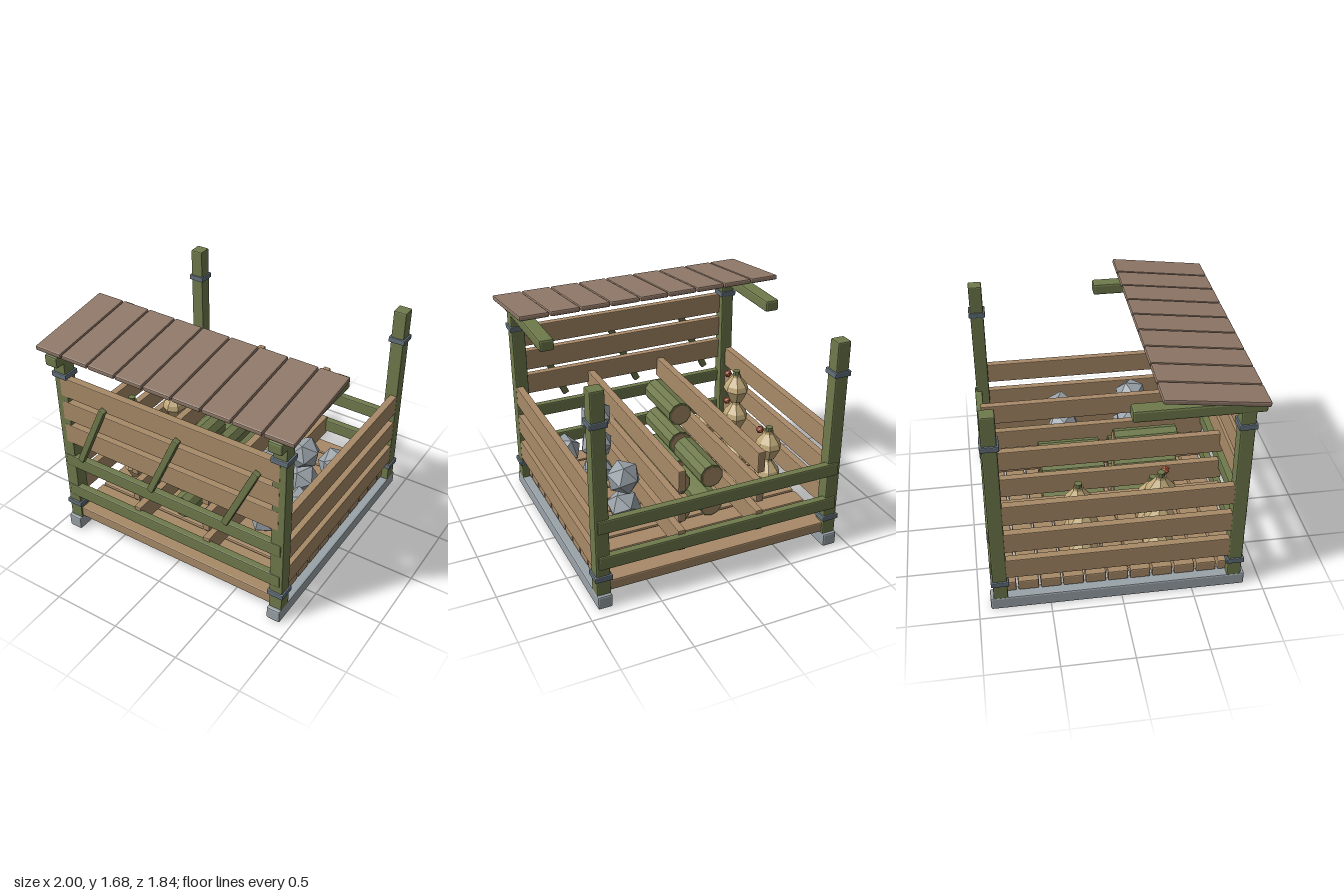
import * as THREE from 'three';
import { RoundedBoxGeometry } from 'three/addons/geometries/RoundedBoxGeometry.js';

const mat = (color) => new THREE.MeshStandardMaterial({ color, flatShading: true });

export function createModel() {
  const root = new THREE.Group();
  root.name = 'storageShed';
  const green = mat(0x6f7a4c), brown = mat(0xa88a68), roofBrown = mat(0x8f7868);
  const stone = mat(0x9aa3a9), iron = mat(0x62707c), tan = mat(0xbfa878), red = mat(0xb5603f);

  const add = (name, geo, material, x, y, z, parent = root) => {
    const m = new THREE.Mesh(geo, material);
    m.name = name;
    m.position.set(x, y, z);
    parent.add(m);
    return m;
  };
  // Chamfered beam
  const beam = (name, material, w, h, d, x, y, z, bevel = 0.009) =>
    add(name, new RoundedBoxGeometry(w, h, d, 1, bevel), material, x, y, z);

  const boardYs = [0.353, 0.58, 0.815];
  const railYs = [0.353, 0.632];

  // Skids, corner posts with straps, roof arms and side boards
  for (const s of [-1, 1]) {
    const x = s * 0.87;
    beam('skid', stone, 0.105, 0.1, 1.795, x, 0.05, -0.02, 0.012);
    beam('frontPost', green, 0.1, 1.4, 0.1, x, 0.79, 0.8);
    beam('backPost', green, 0.1, 1.51, 0.1, x, 0.845, -0.845);
    for (const z of [0.8, -0.845])
      for (const y of [0.23, 1.367]) beam('strap', iron, 0.125, 0.04, 0.125, x, y, z, 0.006);
    beam('roofArm', green, 0.105, 0.085, 0.87, x, 1.512, 0.485, 0.014);
    for (const y of boardYs) {
      beam('sideBoard', brown, 0.055, 0.157, 1.7, s * 0.889, y, -0.025, 0.006);
      beam('divider', brown, 0.055, 0.157, 1.7, s * 0.295, y, -0.025, 0.006);
    }
  }

  // Floor slats
  for (let i = 0; i < 11; i++)
    beam('floorSlat', brown, 1.73, 0.08, 0.143, 0, 0.145, 0.766 - i * 0.157);

  // Front boards, front and back rails
  for (const y of [0.88, 1.078, 1.276])
    beam('frontBoard', brown, 1.75, 0.157, 0.055, 0, y, 0.825, 0.006);
  for (const y of railYs)
    for (const z of [0.83, -0.88]) beam('rail', green, 1.8, 0.1, 0.055, 0, y, z);

  // Slanted battens on the front
  for (const x of [-0.607, 0, 0.607])
    beam('slantedBatten', green, 0.05, 0.58, 0.042, x, 0.972, 0.878).rotation.z = -0.43;

  // Sloping roof boards
  for (let i = 0; i < 9; i++)
    beam('roofBoard', roofBrown, 0.214, 0.036, 0.695, (i - 4) * 0.2232, 1.618, 0.568, 0.01)
      .rotation.x = 0.124;

  // Goods
  const logGeo = new THREE.CylinderGeometry(0.091, 0.091, 0.455, 10).rotateX(Math.PI / 2);
  const capGeo = new THREE.CylinderGeometry(0.077, 0.077, 0.467, 10).rotateX(Math.PI / 2);
  const rockGeo = new THREE.IcosahedronGeometry(0.13, 0);
  const sackProfile = [[0, 0], [0.05, 0], [0.097, 0.1], [0.085, 0.14], [0.035, 0.205], [0.032, 0.225], [0, 0.225]]
    .map(([r, y]) => new THREE.Vector2(r, y));
  const sackGeo = new THREE.LatheGeometry(sackProfile, 7).scale(1, 1, 1.15);
  const stemGeo = new THREE.CylinderGeometry(0.027, 0.027, 0.05, 8);
  const tagGeo = new THREE.IcosahedronGeometry(0.032, 0);

  const addLog = (x, base, z) => {
    const g = new THREE.Group();
    g.name = 'log';
    g.position.set(x, base + 0.096, z);
    add('bark', logGeo, green, 0, 0, 0, g);
    add('cutEnds', capGeo, brown, 0, 0, 0, g);
    root.add(g);
  };
  const addSack = (x, base, z, tagged) => {
    const g = new THREE.Group();
    g.name = 'sack';
    g.position.set(x, base, z);
    add('sackBody', sackGeo, tan, 0, 0, 0, g);
    add('sackStopper', stemGeo, green, 0, 0.232, 0, g);
    if (tagged) add('sackBerry', tagGeo, red, 0.055, 0.226, 0.04, g);
    root.add(g);
  };
  let rocks = 0;
  const addRock = (x, base, z) => {
    const m = add('rock', rockGeo, stone, x, base + 0.118, z);
    rocks++;
    m.rotation.set(0.4 + rocks * 0.7, rocks * 1.3, rocks * 0.5);
  };

  // Each bay: two columns, two depths, two layers, plus one item on a third layer in front
  for (const z of [0.289, -0.243])
    for (let layer = 0; layer < 3; layer++)
      for (const col of [0, 1]) {
        if (layer === 2 && (col === 1 || z < 0)) continue;
        const base = 0.187 + layer * 0.235, dx = col ? 0.129 : -0.129;
        addSack(-0.592 + dx, base, z, col === 0);
        addLog(dx, base + layer * 0.008, z);
        addRock(0.587 + dx, base, z);
      }

  return root;
}
